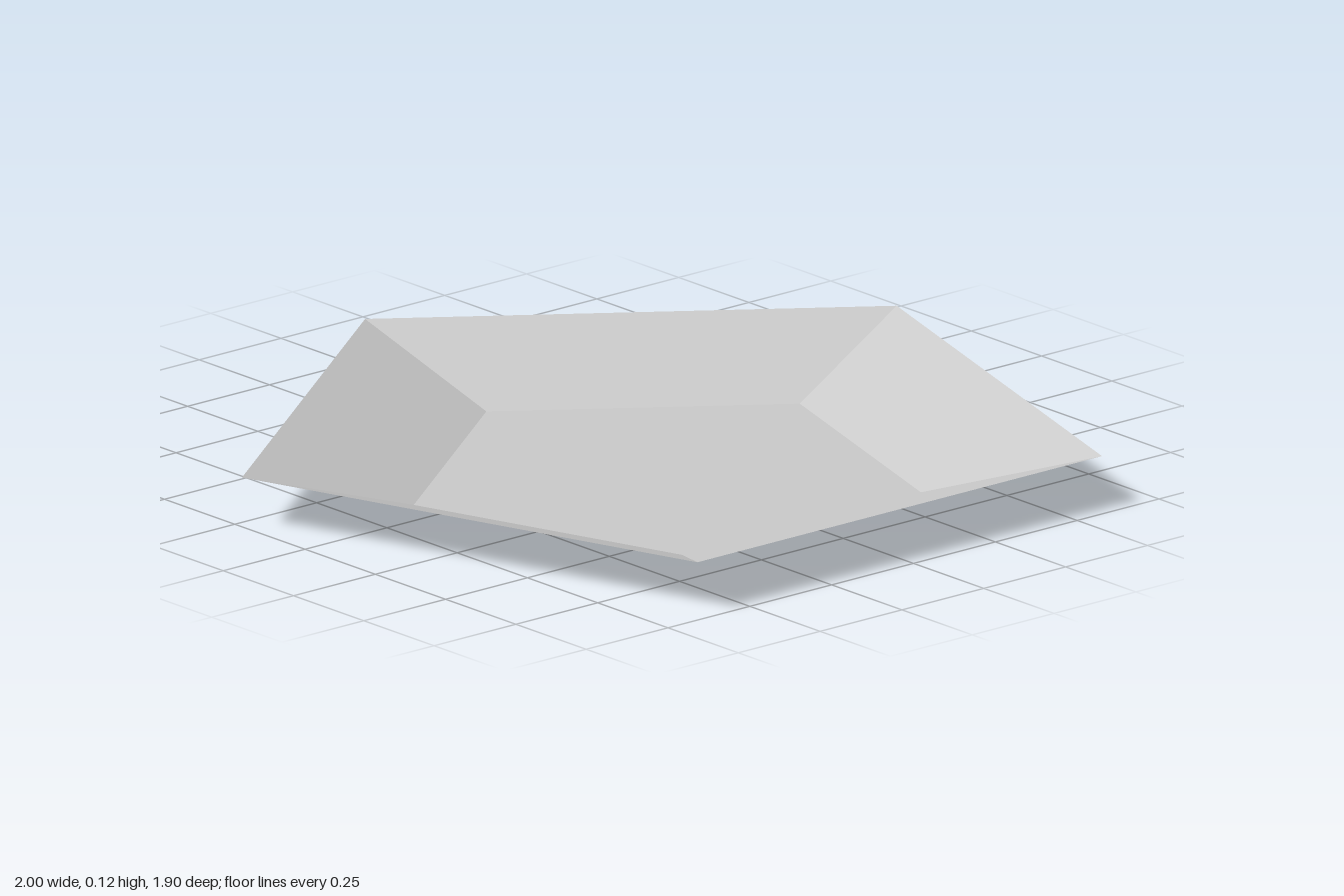
import * as THREE from 'three';

export function createModel() {
  const SIDES = 5, RIM = 1.0515, BASE = 0.62, HEIGHT = 0.12;
  const grey = new THREE.MeshStandardMaterial({ color: 0xcccccc, flatShading: true, side: THREE.DoubleSide });
  grey.name = 'grey';

  const dish = new THREE.Group();
  dish.name = 'pentagonDish';

  // Sloping walls, one corner pointing to the back
  const walls = new THREE.Mesh(
    new THREE.CylinderGeometry(RIM, BASE, HEIGHT, SIDES, 1, true, Math.PI), grey);
  walls.name = 'walls';
  walls.position.y = HEIGHT / 2;

  // Flat floor joining the lower edges of the walls
  const floor = new THREE.Mesh(
    new THREE.CircleGeometry(BASE, SIDES, Math.PI / 2).rotateX(-Math.PI / 2), grey);
  floor.name = 'floor';

  dish.add(walls, floor);
  // A pentagon's centre sits off the middle of its bounds
  dish.position.z = RIM * (1 - Math.cos(Math.PI / SIDES)) / 2;

  const model = new THREE.Group();
  model.name = 'model';
  model.add(dish);
  return model;
}
